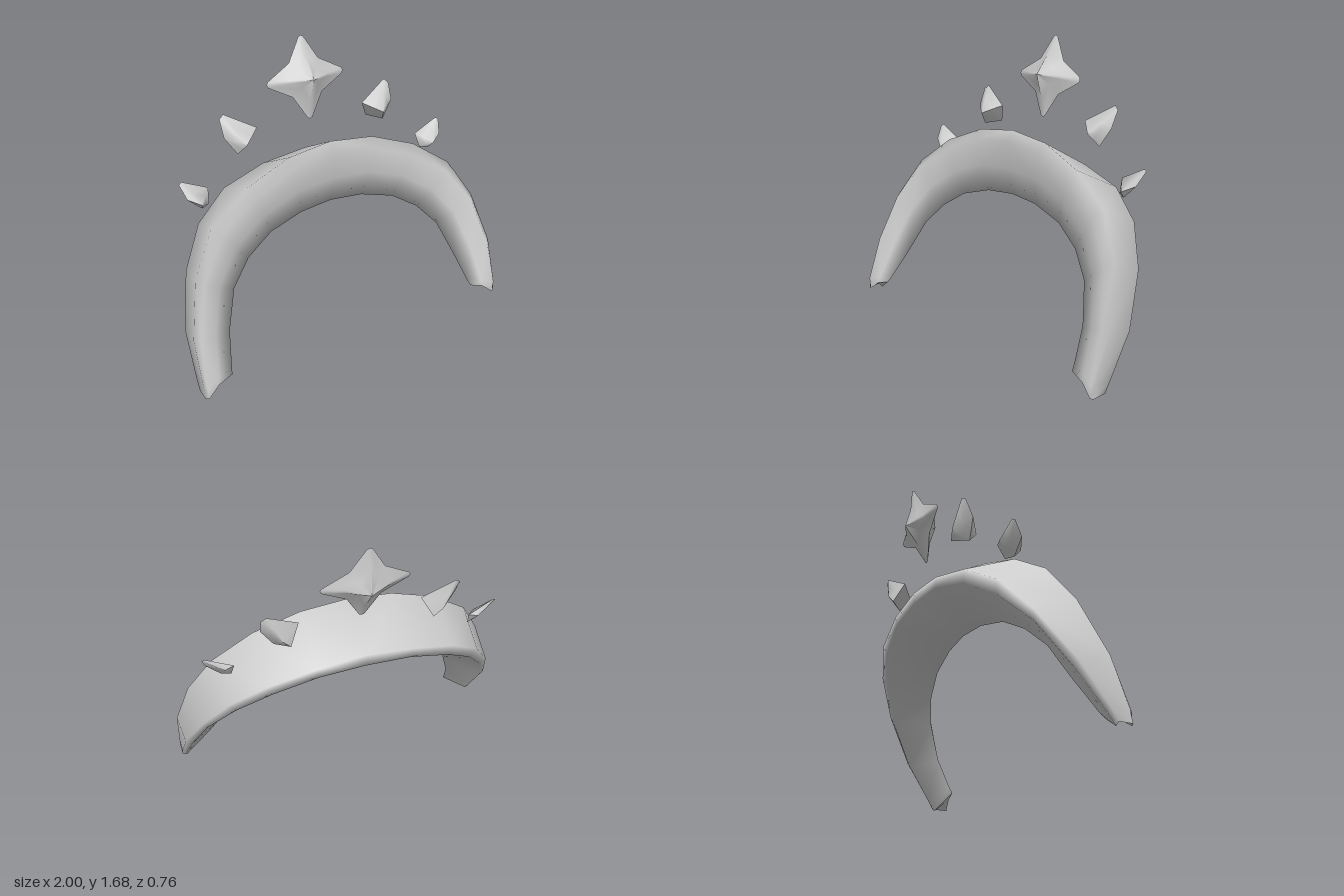
import * as THREE from 'three';
import { toCreasedNormals } from 'three/addons/utils/BufferGeometryUtils.js';

const makeGeometry = (points, index) => {
  const g = new THREE.BufferGeometry();
  g.setAttribute('position', new THREE.Float32BufferAttribute(points.flat(), 3));
  g.setIndex(index);
  g.computeVertexNormals();
  return g;
};

// Edge lines of the band, from the crown centre down to one tip.
const edges = [
  // outer front
  [[0, 1.16, 0], [0.27, 1.13, 0.01], [0.54, 1.03, 0.04], [0.78, 0.865, 0.08], [0.92, 0.64, 0.16], [1, 0.34, 0.27], [1, 0.08, 0.36], [1, 0.015, 0.37]],
  // outer back
  [[0, 0.99, -0.31], [0.28, 0.96, -0.305], [0.55, 0.885, -0.27], [0.75, 0.75, -0.19], [0.89, 0.55, -0.07], [0.985, 0.29, 0.1], [1, 0.08, 0.25], [1, 0.015, 0.29]],
  // lower back
  [[0, 0.92, -0.31], [0.27, 0.9, -0.3], [0.52, 0.82, -0.26], [0.71, 0.69, -0.175], [0.86, 0.51, -0.06], [0.95, 0.26, 0.1], [0.975, 0.07, 0.24], [0.975, 0, 0.29]],
  // inner ridge
  [[0, 0.785, 0.005], [0.2, 0.77, 0.015], [0.41, 0.71, 0.035], [0.57, 0.61, 0.07], [0.69, 0.48, 0.125], [0.77, 0.28, 0.215], [0.815, 0.12, 0.32], [0.825, 0.09, 0.345]],
  // middle of the front
  [[0, 0.94, 0.035], [0.23, 0.925, 0.043], [0.46, 0.845, 0.065], [0.655, 0.72, 0.105], [0.79, 0.55, 0.165], [0.87, 0.31, 0.26], [0.905, 0.1, 0.35], [0.91, 0.065, 0.36]],
  // front
  [[0, 1.1, 0.05], [0.26, 1.08, 0.057], [0.51, 0.98, 0.085], [0.74, 0.83, 0.13], [0.89, 0.62, 0.205], [0.97, 0.34, 0.298], [0.985, 0.08, 0.38], [0.98, 0.01, 0.378]],
];
const LAST = edges[0].length - 1;

function bandGeometry() {
  const points = [], index = [], n = edges.length;
  for (let s = -LAST; s <= LAST; s++) {
    for (const edge of edges) {
      const [x, y, z] = edge[Math.abs(s)];
      points.push([s < 0 ? -x : x, y, z]);
    }
  }
  for (let i = 0; i < 2 * LAST; i++) {
    for (let j = 0; j < n; j++) {
      const k = (j + 1) % n;
      const a = i * n + j, b = a + n, c = (i + 1) * n + k, d = i * n + k;
      index.push(...(i < LAST ? [a, b, c, a, c, d] : [a, b, d, b, c, d]));
    }
  }
  return makeGeometry(points, index);
}

// Notched closing face at a band tip.
function tipGeometry(side) {
  const points = edges.map((e) => [side * e[LAST][0], e[LAST][1], e[LAST][2]]);
  const index = [];
  for (const [a, b] of [[5, 0], [0, 1], [1, 2], [2, 3]]) index.push(...(side > 0 ? [4, b, a] : [4, a, b]));
  return makeGeometry(points, index);
}

// Gem: an anticlockwise outline joined to a front and a back apex.
// A pinch above zero hollows the slopes halfway up.
function gemGeometry(outline, front, back, side = 1, pinch = 0) {
  const vec = ([x, y, z]) => new THREE.Vector3(side * x, y, z);
  const ring = outline.map(vec);
  if (side < 0) ring.reverse();
  const apexes = [vec(front), vec(back)];
  const centre = apexes[0].clone().lerp(apexes[1], 0.5);
  const n = ring.length, points = [...ring], index = [];
  apexes.forEach((apex, f) => {
    const start = points.length;
    const push = apex.clone().sub(centre).multiplyScalar(-pinch);
    for (const p of ring) points.push(p.clone().lerp(apex, 0.5).add(push));
    points.push(apex);
    for (let i = 0; i < n; i++) {
      const k = (i + 1) % n, a = start + i, b = start + k;
      const faces = [[i, k, b], [i, b, a], [a, b, start + n]];
      for (const t of faces) index.push(...(f ? t.reverse() : t));
    }
  });
  return toCreasedNormals(makeGeometry(points.map((p) => p.toArray()), index), 0.85);
}

// Four-pointed outline with blunt tips, leaning backwards.
function starOutline() {
  const out = [];
  for (let q = 0; q < 4; q++) {
    const r = q % 2 ? 0.235 : 0.247;
    for (const [u, v] of [[r - 0.008, -0.016], [r, 0], [r - 0.008, 0.016], [0.095, 0.095]]) {
      const a = q * Math.PI / 2;
      const x = u * Math.cos(a) - v * Math.sin(a);
      const y = u * Math.sin(a) + v * Math.cos(a);
      out.push([x, 1.443 + y, -0.285 - y * 0.22]);
    }
  }
  return out;
}

export function createModel() {
  const model = new THREE.Group();
  const silver = new THREE.MeshStandardMaterial({ color: 0xcccccc });
  silver.name = 'silver';
  const add = (name, geometry) => {
    const mesh = new THREE.Mesh(geometry, silver);
    mesh.name = name;
    model.add(mesh);
  };

  add('band', bandGeometry());
  add('centreStar', gemGeometry(starOutline(), [0, 1.462, -0.183], [0, 1.42, -0.378], 1, 0.13));

  const upperGem = [[0.345, 1.235, -0.225], [0.405, 1.128, -0.275], [0.48, 1.112, -0.2], [0.55, 1.22, -0.215], [0.553, 1.315, -0.26], [0.525, 1.337, -0.27]];
  const lowerGem = [[0.69, 0.985, -0.15], [0.705, 0.905, -0.115], [0.755, 0.9, -0.09], [0.835, 0.975, -0.09], [0.858, 1.05, -0.14], [0.84, 1.06, -0.147]];
  for (const [side, label] of [[1, 'left'], [-1, 'right']]) {
    add(label + 'BandTip', tipGeometry(side));
    add(label + 'UpperGem', gemGeometry(upperGem, [0.445, 1.185, -0.14], [0.45, 1.18, -0.29], side));
    add(label + 'LowerGem', gemGeometry(lowerGem, [0.765, 0.94, -0.055], [0.745, 0.98, -0.168], side));
  }
  return model;
}
